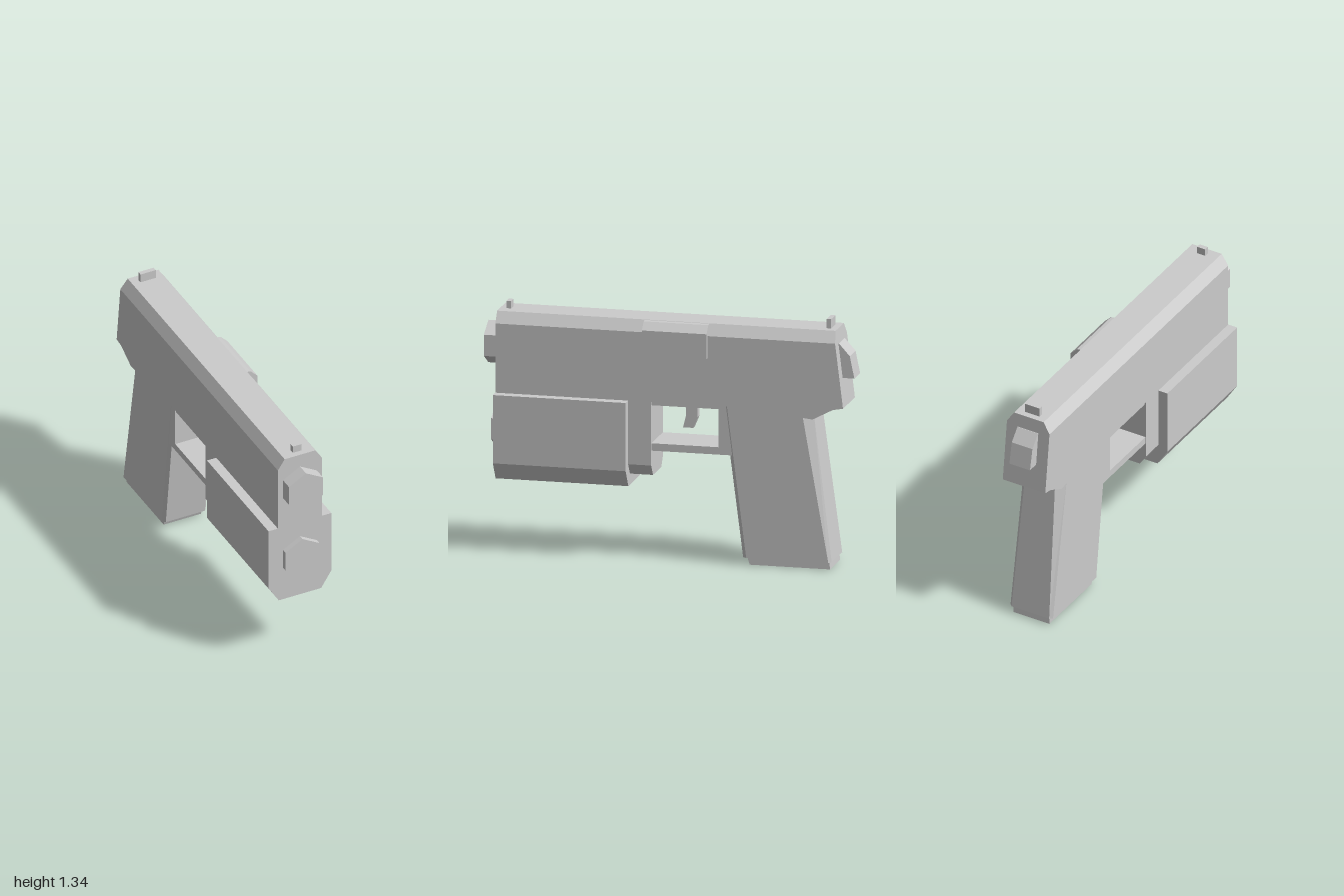
import * as THREE from 'three';

const material = new THREE.MeshStandardMaterial({ color: 0xcccccc, flatShading: true });

function shapeOf(points) {
  return new THREE.Shape(points.map(([a, b]) => new THREE.Vector2(a, b)));
}

export function createModel() {
  const model = new THREE.Group();

  const add = (name, geometry) => {
    const mesh = new THREE.Mesh(geometry, material);
    mesh.name = name;
    model.add(mesh);
    return mesh;
  };

  // Side profile of [z, y] points, extruded across x
  const sideProfile = (name, points, halfWidth) => {
    const g = new THREE.ExtrudeGeometry(shapeOf(points), { depth: halfWidth * 2, bevelEnabled: false });
    return add(name, g.translate(0, 0, -halfWidth).rotateY(-Math.PI / 2));
  };

  // Front profile of [x, y] points, extruded from z0 to z1
  const frontProfile = (name, points, z0, z1) => {
    const g = new THREE.ExtrudeGeometry(shapeOf(points), { depth: z1 - z0, bevelEnabled: false });
    return add(name, g.translate(0, 0, z0));
  };

  const box = (name, w, y0, y1, z0, z1) =>
    add(name, new THREE.BoxGeometry(w, y1 - y0, z1 - z0).translate(0, (y0 + y1) / 2, (z0 + z1) / 2));

  const hexagon = (name, y, z0, z1) =>
    add(name, new THREE.CylinderGeometry(0.115, 0.115, z1 - z0, 6).rotateX(Math.PI / 2).translate(0, y, (z0 + z1) / 2));

  // Slide and frame, with a sloping rear and an undercut above the grip
  sideProfile('slideBody', [
    [0.93, 1.23], [0.93, 0.855], [-0.36, 0.855], [-0.79, 0.812],
    [-0.9, 0.87], [-0.955, 0.88], [-0.912, 1.23],
  ], 0.13);

  // Chamfered slide top, its rear end sheared to follow the slope
  const top = frontProfile('slideTop', [[-0.13, 1.23], [0.13, 1.23], [0.09, 1.29], [-0.09, 1.29]], -0.905, 0.93);
  const p = top.geometry.attributes.position;
  for (let i = 0; i < p.count; i++) {
    if (p.getZ(i) < 0) p.setZ(i, -0.905 - (1.29 - p.getY(i)) * 0.12);
  }

  // Raised port on the left side
  frontProfile('ejectionPort', [
    [0.08, 1.11], [0.152, 1.11], [0.152, 1.245], [0.112, 1.285], [0.09, 1.288],
  ], -0.22, 0.13);

  // Sights, barrel and hammer
  box('frontSight', 0.05, 1.28, 1.33, 0.87, 0.897);
  box('rearSight', 0.09, 1.28, 1.34, -0.87, -0.845);
  hexagon('barrel', 1.1, 0.9, 1.0);
  sideProfile('hammer', [[-0.9, 1.215], [-0.917, 1.215], [-0.975, 1.15], [-1.0, 1.03], [-0.92, 1.03]], 0.063);

  // Lamp housing under the slide, with its lens and rear mount
  frontProfile('lampHousing', [
    [-0.185, 0.855], [-0.185, 0.485], [-0.125, 0.39], [0.125, 0.39], [0.185, 0.485], [0.185, 0.855],
  ], 0.21, 0.93);
  hexagon('lampLens', 0.65, 0.9, 0.96);
  frontProfile('lampMount', [
    [-0.13, 0.86], [-0.13, 0.51], [-0.09, 0.45], [0.09, 0.45], [0.13, 0.51], [0.13, 0.86],
  ], 0.085, 0.22);

  // Trigger guard and trigger
  box('guardTop', 0.24, 0.835, 0.86, -0.3, 0.1);
  box('guardBar', 0.25, 0.59, 0.63, -0.36, 0.1);
  box('guardRear', 0.25, 0.59, 0.86, -0.4, -0.28);
  sideProfile('trigger', [
    [-0.075, 0.84], [-0.075, 0.76], [-0.06, 0.7], [-0.115, 0.7], [-0.14, 0.76], [-0.14, 0.84],
  ], 0.02);

  // Grip: raked octagonal loft whose rear chamfer widens upward
  const ring = (y, front, back, rearX, rearZ) => {
    const half = [[0.115, front], [0.13, front - 0.02], [0.13, back + rearZ], [0.13 - rearX, back]];
    return [...half, ...half.slice().reverse().map(([x, z]) => [-x, z])].map(([x, z]) => [x, y, z]);
  };
  const low = ring(0.04, -0.41, -0.89, 0.015, 0.015);
  const high = ring(0.86, -0.305, -0.785, 0.04, 0.055);
  const verts = [];
  for (let i = 0; i < 8; i++) {
    const j = (i + 1) % 8;
    verts.push(low[i], low[j], high[j], low[i], high[j], high[i]);
    if (i > 0 && i < 7) verts.push(low[0], low[j], low[i], high[0], high[i], high[j]);
  }
  const gripGeometry = new THREE.BufferGeometry();
  gripGeometry.setAttribute('position', new THREE.Float32BufferAttribute(verts.flat(), 3));
  gripGeometry.computeVertexNormals();
  add('grip', gripGeometry);

  // Magazine base plate
  sideProfile('magazineBase', [[-0.43, 0.045], [-0.445, 0], [-0.88, 0], [-0.875, 0.045]], 0.11);

  return model;
}
